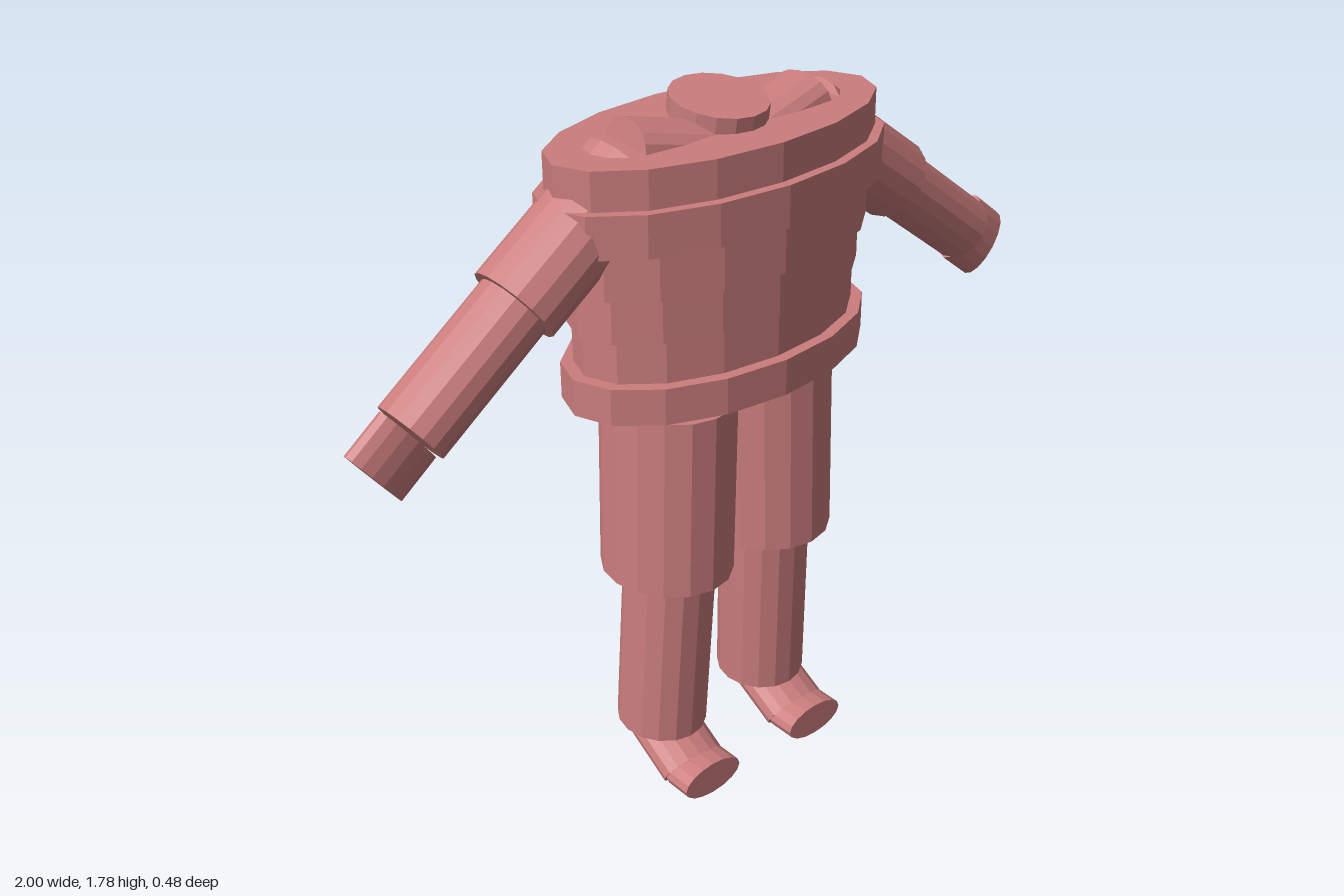
import * as THREE from 'three';

const SIDES = 16;

export function createModel() {
  const model = new THREE.Group();
  model.name = 'figure';
  const rose = new THREE.MeshStandardMaterial({ color: 0xcb7d7d });
  rose.name = 'rose';
  rose.flatShading = true;

  // Elliptical prism from a to b; rRef is the radius along ref, rSide the one across it
  function segment(parent, name, a, b, rSide, rRef, ref) {
    const A = new THREE.Vector3(...a), B = new THREE.Vector3(...b);
    const y = B.clone().sub(A);
    const length = y.length();
    y.normalize();
    const z = new THREE.Vector3(...ref).addScaledVector(y, -y.dot(new THREE.Vector3(...ref))).normalize();
    const x = new THREE.Vector3().crossVectors(y, z);
    const geometry = new THREE.CylinderGeometry(1, 1, length, SIDES);
    geometry.scale(rSide, 1, rRef);
    geometry.applyMatrix4(new THREE.Matrix4().makeBasis(x, y, z).setPosition(A.add(B).multiplyScalar(0.5)));
    const mesh = new THREE.Mesh(geometry, rose);
    mesh.name = name;
    parent.add(mesh);
  }

  const Z = [0, 0, 1], X = [1, 0, 0];
  const cx = -0.003;

  // Torso bands: name, bottom, top, half width, half depth
  const torso = new THREE.Group();
  torso.name = 'torso';
  model.add(torso);
  [
    ['hips', 1.12, 1.21, 0.425, 0.24],
    ['waist', 1.21, 1.31, 0.394, 0.212],
    ['belly', 1.31, 1.42, 0.408, 0.214],
    ['ribs', 1.42, 1.53, 0.43, 0.23],
    ['chest', 1.53, 1.63, 0.48, 0.24],
    ['shoulders', 1.63, 1.72, 0.455, 0.216],
  ].forEach(([name, y0, y1, rx, rz]) => segment(torso, name, [cx, y0, 0], [cx, y1, 0], rx, rz, Z));

  // Neck disc, tipped forward
  segment(model, 'neck', [cx, 1.727, 0], [cx, 1.772, 0.007], 0.112, 0.118, Z);

  for (const s of [-1, 1]) {
    const side = s > 0 ? 'left' : 'right';
    const p = (x, y, z) => [s * x + cx, y, z];

    // Collarbone
    segment(model, side + 'Collarbone', p(0.262, 1.717, 0), p(0, 1.66, 0.035), 0.06, 0.085, Z);

    // Arm
    const arm = new THREE.Group();
    arm.name = side + 'Arm';
    model.add(arm);
    segment(arm, 'upperArm', p(0.264, 1.66, 0), p(0.57, 1.437, 0), 0.103, 0.108, Z);
    segment(arm, 'forearm', p(0.55, 1.452, 0), p(0.846, 1.231, 0), 0.085, 0.088, Z);
    segment(arm, 'hand', p(0.852, 1.229, 0), p(0.944, 1.158, 0), 0.092, 0.041, Z);

    // Leg
    const leg = new THREE.Group();
    leg.name = side + 'Leg';
    model.add(leg);
    segment(leg, 'thigh', p(0.153, 1.085, 0), p(0.165, 0.618, 0), 0.159, 0.173, Z);
    segment(leg, 'shin', p(0.158, 0.622, 0.002), p(0.173, 0.138, -0.022), 0.114, 0.118, Z);
    segment(leg, 'foot', p(0.178, 0.13, -0.02), p(0.18, 0.054, 0.11), 0.056, 0.092, X);
    segment(leg, 'toes', p(0.18, 0.056, 0.113), p(0.18, 0.056, 0.19), 0.046, 0.09, X);
  }
  return model;
}
